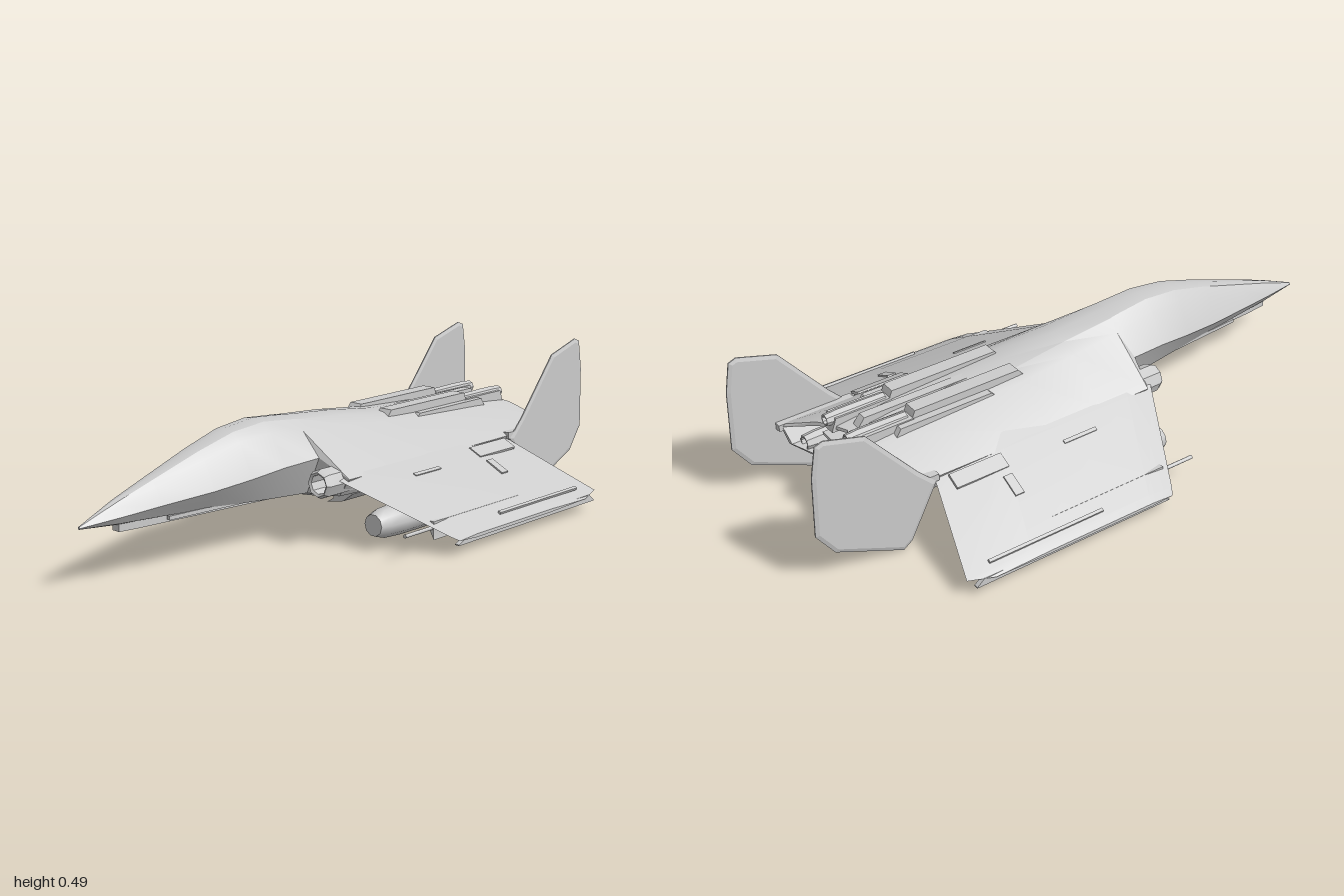
import * as THREE from 'three';
import { toCreasedNormals } from 'three/addons/utils/BufferGeometryUtils.js';

const grey = new THREE.MeshStandardMaterial({ color: 0xcccccc });
const greyOpen = new THREE.MeshStandardMaterial({ color: 0xcccccc, side: THREE.DoubleSide });

// Skin a list of closed rings of [x, y, z] points, with fan caps; faces always point outwards
function loft(rings) {
  const n = rings[0].length;
  const pos = [];
  let volume = 0;
  const tri = (a, b, c) => {
    pos.push([a, b, c]);
    volume += a[0] * (b[1] * c[2] - b[2] * c[1])
      + a[1] * (b[2] * c[0] - b[0] * c[2])
      + a[2] * (b[0] * c[1] - b[1] * c[0]);
  };
  for (let r = 0; r < rings.length - 1; r++) {
    for (let i = 0; i < n; i++) {
      const j = (i + 1) % n;
      const [a, b, c, d] = [rings[r][i], rings[r][j], rings[r + 1][j], rings[r + 1][i]];
      tri(a, b, c);
      tri(a, c, d);
    }
  }
  const cap = (ring, flip) => {
    const mid = [0, 1, 2].map(k => ring.reduce((sum, p) => sum + p[k], 0) / n);
    for (let i = 0; i < n; i++) {
      const j = (i + 1) % n;
      if (flip) tri(mid, ring[j], ring[i]);
      else tri(mid, ring[i], ring[j]);
    }
  };
  cap(rings[0], true);
  cap(rings[rings.length - 1], false);
  const flat = pos.flatMap(([a, b, c]) => (volume < 0 ? [a, c, b] : [a, b, c])).flat();
  const geo = new THREE.BufferGeometry();
  geo.setAttribute('position', new THREE.Float32BufferAttribute(flat, 3));
  geo.computeVertexNormals();
  return toCreasedNormals(geo, 0.45);
}

function add(parent, name, geo, x = 0, y = 0, z = 0, material = grey) {
  const mesh = new THREE.Mesh(geo, material);
  mesh.name = name;
  mesh.position.set(x, y, z);
  parent.add(mesh);
  return mesh;
}

const box = (x, y, z) => new THREE.BoxGeometry(x, y, z);

// Lathed body lying along x; profile points are [radius, x]
function turned(profile, sides) {
  const geo = new THREE.LatheGeometry(profile.map(([r, x]) => new THREE.Vector2(r, x)), sides);
  geo.rotateZ(-Math.PI / 2);
  return toCreasedNormals(geo, 0.7);
}

// Box with end faces at x0 and x1, the front end sloped
function wedge(x0, x1, y0, y1, z0, z1, slope) {
  const ring = (x, top) => [[x, y0, z0], [x, top, z0], [x, top, z1], [x, y0, z1]];
  return loft([ring(x0, y0 + 0.003), ring(x0 + slope, y1), ring(x1 - slope * 0.5, y1), ring(x1, y0 + 0.003)]);
}

// Fuselage stations: x, top y, shoulder z/y, chine z/y, lower edge z/y, bottom y
const stations = [
  [-1, 0.188, 0.003, 0.186, 0.005, 0.184, 0.003, 0.181, 0.18],
  [-0.87, 0.24, 0.024, 0.222, 0.036, 0.196, 0.022, 0.174, 0.169],
  [-0.75, 0.28, 0.036, 0.257, 0.062, 0.208, 0.036, 0.17, 0.164],
  [-0.58, 0.336, 0.052, 0.307, 0.095, 0.222, 0.052, 0.163, 0.156],
  [-0.45, 0.372, 0.065, 0.34, 0.115, 0.236, 0.065, 0.155, 0.148],
  [-0.33, 0.385, 0.074, 0.347, 0.132, 0.252, 0.078, 0.148, 0.14],
  [-0.205, 0.374, 0.085, 0.334, 0.15, 0.262, 0.1, 0.145, 0.134],
  [-0.18, 0.371, 0.09, 0.33, 0.25, 0.208, 0.21, 0.15, 0.133],
  [0, 0.355, 0.1, 0.322, 0.25, 0.208, 0.215, 0.145, 0.133],
  [0.2, 0.33, 0.11, 0.307, 0.25, 0.208, 0.215, 0.143, 0.133],
  [0.6, 0.308, 0.11, 0.29, 0.25, 0.21, 0.215, 0.145, 0.138],
  [0.74, 0.29, 0.11, 0.275, 0.245, 0.212, 0.215, 0.152, 0.145],
];

function stationRing([x, top, sz, sy, cz, cy, lz, ly, bottom], sweep = 0) {
  const half = [[0, top], [sz * 0.55, top - (top - sy) * 0.2], [sz, sy], [cz, cy], [lz, ly], [lz * 0.5, bottom], [0, bottom]];
  const mirrored = half.slice(1, -1).reverse().map(([z, y]) => [-z, y]);
  return [...half, ...mirrored].map(([z, y]) => [x + sweep * Math.abs(z), y, z]);
}

function fuselageGeometry() {
  const rings = stations.map((s, i) => stationRing(s, i === stations.length - 1 ? 0.4 : 0));
  // Recessed engine bay in the tail
  const rim = rings[rings.length - 1];
  const shrink = rim.map(([x, y, z]) => [x, 0.212 + (y - 0.212) * 0.86, z * 0.92]);
  rings.push(shrink, shrink.map(([, y, z]) => [0.62, y, z]));
  return loft(rings);
}

// Wing section: chord from x0 to x1 at height y
const wingRing = (x0, x1, y, z, t) => {
  const at = f => x0 + (x1 - x0) * f;
  return [[x0, y, z], [at(0.12), y + t / 2, z], [at(0.7), y + t / 2, z], [x1, y, z], [at(0.7), y - t / 2, z], [at(0.12), y - t / 2, z]];
};

function finGeometry() {
  const outline = [[0.6, 0.2], [0.66, 0.26], [0.82, 0.45], [0.95, 0.488], [0.975, 0.478], [0.992, 0.38], [0.997, 0.18], [0.94, 0.1], [0.72, 0.003], [0.69, 0.025]];
  const shape = new THREE.Shape(outline.map(([x, y]) => new THREE.Vector2(x, y)));
  const geo = new THREE.ExtrudeGeometry(shape, { depth: 0.004, bevelThickness: 0.004, bevelSize: 0.012, bevelOffset: -0.012, bevelSegments: 1 });
  return geo.translate(0, 0, -0.002);
}

function createSide(s) {
  const side = new THREE.Group();
  side.name = s > 0 ? 'leftSide' : 'rightSide';

  // Drooping wing and its tip rail
  add(side, 'wing', loft([
    wingRing(-0.22, 0.58, 0.222, s * 0.2, 0.03),
    wingRing(-0.195, 0.6, 0.196, s * 0.25, 0.03),
    wingRing(-0.05, 0.685, 0.06, s * 0.535, 0.018),
    wingRing(-0.035, 0.6, 0.05, s * 0.558, 0.01),
  ]));
  add(side, 'wingTipRail', wedge(-0.03, 0.66, 0.032, 0.056, s * 0.535, s * 0.55, 0.05));

  // Raised panels on the wing
  const panels = [[0.47, 0.28, 0.18, 0.05], [0.4, 0.355, 0.03, 0.07], [0.12, 0.3, 0.12, 0.012], [0.4, 0.52, 0.4, 0.01]];
  for (const [x, z, length, width] of panels) {
    const y = 0.196 - (z - 0.25) * 0.477 + 0.013;
    const panel = add(side, 'wingPanel', box(length, 0.009, width), x, y, s * z);
    panel.rotation.x = s * 0.445;
  }

  // Tail fin reaching above and below the hull
  add(side, 'tailFin', finGeometry(), 0, 0, s * 0.253);
  add(side, 'finRoot', box(0.26, 0.022, 0.03), 0.72, 0.21, s * 0.24);

  // Pod beneath the wing
  add(side, 'underwingPod', turned([[0, -0.165], [0.034, -0.165], [0.045, -0.13], [0.049, -0.06], [0.049, 0.18], [0.034, 0.26], [0, 0.26]], 10), 0, 0.08, s * 0.332);

  // Outer gun with its hooked mount
  const barrel = add(side, 'wingGunBarrel', new THREE.CylinderGeometry(0.006, 0.006, 0.32, 8), -0.02, 0.077, s * 0.468);
  barrel.rotation.z = Math.PI / 2;
  add(side, 'wingGunMount', loft([-0.06, 0.35].map(x => [
    [x, 0.098, s * 0.478], [x, 0.098, s * 0.452], [x, 0.065, s * 0.465], [x, 0.042, s * 0.478], [x, 0.065, s * 0.476],
  ])));

  // Intake tube ahead of the wing root
  add(side, 'intake', turned([[0.03, -0.16], [0.03, -0.25], [0.038, -0.255], [0.046, -0.24], [0.046, -0.1]], 8), 0, 0.196, s * 0.19, greyOpen);

  // Belly strake
  add(side, 'bellyStrake', loft([[-0.12, 0.7], [-0.02, 1], [0.5, 1], [0.6, 0.7]].map(([x, f]) => [
    [x, 0.145, s * 0.21], [x, 0.115, s * 0.17], [x, 0.105 - 0.005 * f, s * (0.17 - 0.095 * f)], [x, 0.118, s * 0.13], [x, 0.145, s * 0.13],
  ])));

  // Exhaust nozzles in the tail bay and on the back
  for (const [z, y, r, x] of [[0.083, 0.187, 0.026, 0.74], [0.168, 0.172, 0.028, 0.76], [0.062, 0.306, 0.022, 0.74]]) {
    add(side, 'exhaustNozzle', turned([[r * 0.9, -0.16], [r, -0.06], [r, 0], [r * 0.85, 0.04], [r * 0.65, 0.04], [r * 0.55, -0.03], [0, -0.03]], 8), x, y, s * z, greyOpen);
  }

  // Dorsal engine housing in stepped blocks
  add(side, 'dorsalHousing', wedge(0.16, 0.58, 0.29, 0.336, s * 0.04, s * 0.088, 0.035));
  add(side, 'dorsalHousingRear', wedge(0.54, 0.77, 0.27, 0.315, s * 0.038, s * 0.092, 0.03));
  add(side, 'dorsalDuct', wedge(0.28, 0.64, 0.285, 0.311, s * 0.085, s * 0.112, 0.03));
  return side;
}

export function createModel() {
  const model = new THREE.Group();
  model.name = 'aircraft';
  add(model, 'fuselage', fuselageGeometry());

  // Long housing under the nose, with side rails
  add(model, 'noseKeel', loft([[-0.87, 0.014], [-0.8, 0.02], [-0.25, 0.04], [-0.17, 0.04]].map(([x, w]) => {
    const bottom = 0.148 - (x + 0.87) * 0.025;
    return [[x, 0.178, w], [x, bottom, w], [x, bottom, -w], [x, 0.178, -w]];
  })));
  for (const s of [1, -1]) {
    const rail = add(model, 'noseRail', box(0.42, 0.012, 0.012), -0.5, 0.16, s * 0.055);
    rail.rotation.y = -s * 0.08;
  }

  // Divider and spine between the engines
  add(model, 'engineDivider', box(0.2, 0.07, 0.028), 0.69, 0.185, 0);
  add(model, 'bayShelf', box(0.16, 0.01, 0.2), 0.69, 0.235, 0);
  add(model, 'dorsalSpine', wedge(0.2, 0.72, 0.28, 0.322, -0.015, 0.015, 0.06));

  model.add(createSide(1), createSide(-1));
  return model;
}
